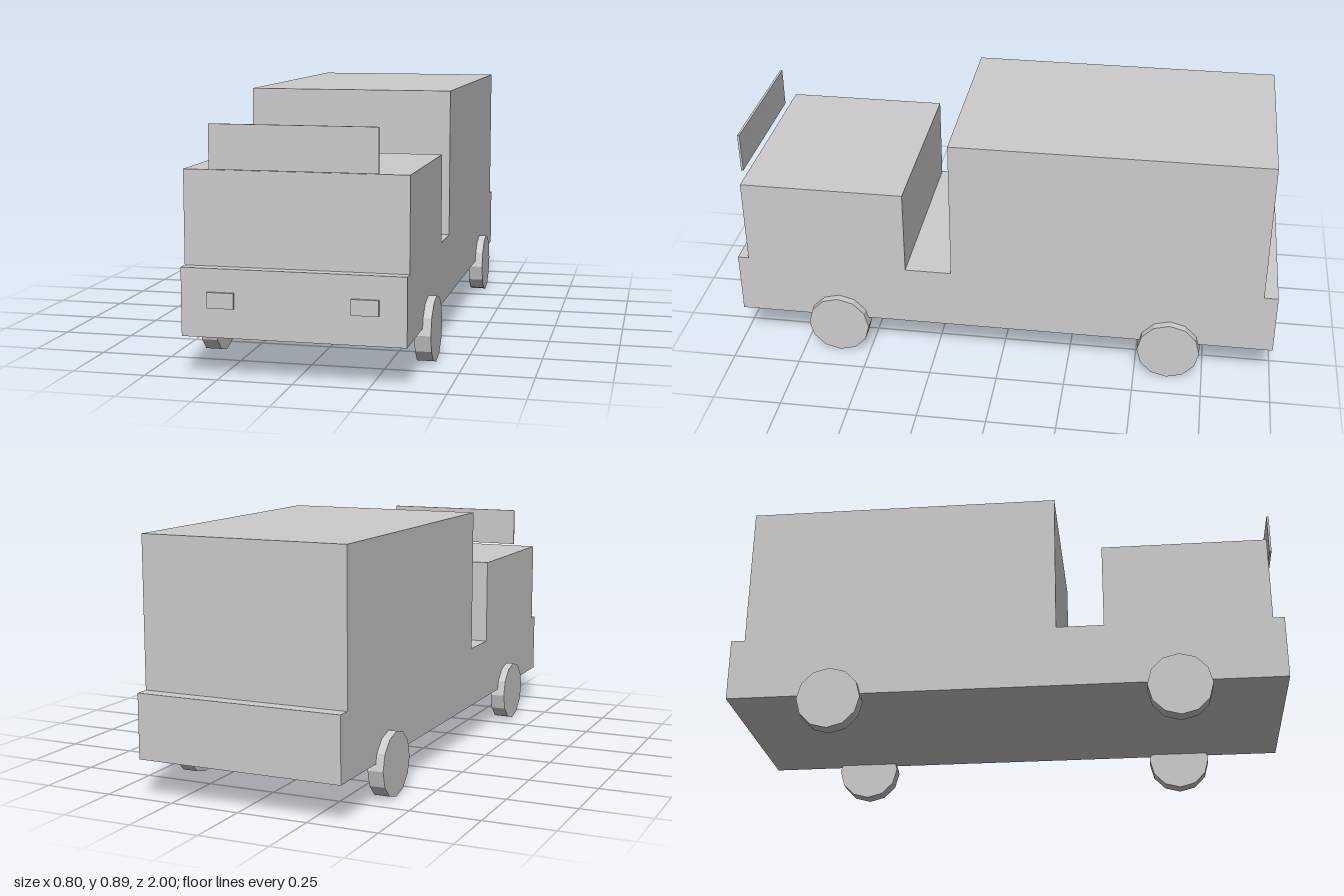
import * as THREE from 'three';

export function createModel() {
  const group = new THREE.Group();
  const paint = new THREE.MeshStandardMaterial({ color: 0xcccccc });
  paint.name = 'light grey';

  const add = (name, geometry, x, y, z) => {
    const mesh = new THREE.Mesh(geometry, paint);
    mesh.name = name;
    mesh.position.set(x, y, z);
    group.add(mesh);
    return mesh;
  };

  // Body: side silhouette as [z, y] (chassis, cab, gap, cargo box), extruded across the width
  const width = 0.744;
  const profile = [
    [0.99, 0.137], [0.99, 0.364], [0.95, 0.364], [0.95, 0.678],
    [0.355, 0.678], [0.355, 0.364], [0.185, 0.364], [0.185, 0.89],
    [-0.95, 0.89], [-0.95, 0.364], [-1, 0.364], [-1, 0.137],
  ];
  const shape = new THREE.Shape(profile.map(([z, y]) => new THREE.Vector2(-z, y)));
  const body = new THREE.ExtrudeGeometry(shape, { depth: width, bevelEnabled: false });
  body.translate(0, 0, -width / 2).rotateY(Math.PI / 2);
  add('body', body, 0, 0, 0);

  // Thin upright windscreen panel floating above the nose
  add('windscreen', new THREE.BoxGeometry(0.554, 0.146, 0.008), 0, 0.755, 0.971);

  // Twelve-sided wheels, with flat treads
  const wheel = new THREE.CylinderGeometry(0.114, 0.114, 0.056, 12).toNonIndexed();
  wheel.rotateZ(Math.PI / 2);
  wheel.computeVertexNormals();

  for (const side of [-1, 1]) {
    const label = side > 0 ? 'left' : 'right';
    add(label + 'Headlight', new THREE.BoxGeometry(0.09, 0.052, 0.02), side * 0.238, 0.261, 0.99);
    add(label + 'FrontWheel', wheel, side * 0.373, 0.114, 0.613);
    add(label + 'BackWheel', wheel, side * 0.373, 0.114, -0.622);
  }
  return group;
}
